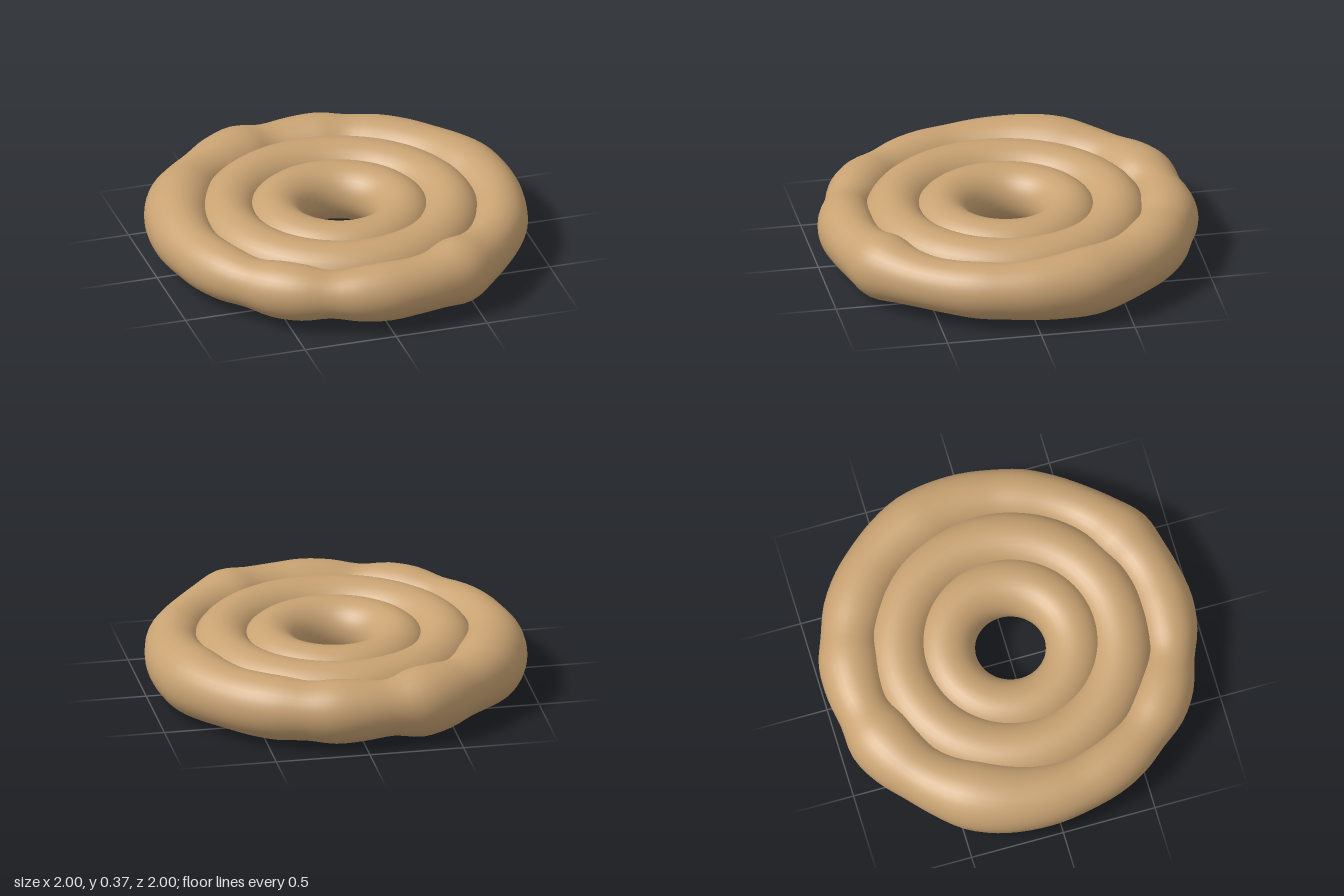
import * as THREE from 'three';
import { mergeVertices } from 'three/addons/utils/BufferGeometryUtils.js';

// Outer edge of the lumpy ring, every 10 degrees from +x towards -z
const RIM = [
  1.0, 1.01, 1.02, 1.012, 1.005, 1.008, 1.008, 0.997, 1.01, 1.0, 0.99, 1.023,
  1.018, 1.0, 1.008, 1.026, 1.024, 1.012, 1.0, 0.988, 0.988, 0.983, 0.972, 0.99,
  0.988, 0.966, 0.985, 0.995, 0.99, 0.995, 1.017, 0.993, 0.98, 0.982, 0.99, 0.99,
];

// Smooth periodic lookup into the rim profile
function rimAt(angle) {
  const n = RIM.length;
  const t = ((angle / (Math.PI * 2)) * n + n) % n;
  const i = Math.floor(t), f = t - i;
  const p = (k) => RIM[(i + k + n) % n];
  const [a, b, c, d] = [p(-1), p(0), p(1), p(2)];
  return b + 0.5 * f * (c - a + f * (2 * a - 5 * b + 4 * c - d + f * (3 * (b - c) + d - a)));
}

// Horizontal ring whose tube thickness follows radiusAt(angle)
function ringGeometry(ringRadius, radiusAt) {
  const geo = new THREE.TorusGeometry(ringRadius, 0.1, 32, 108);
  geo.rotateX(-Math.PI / 2);
  const pos = geo.attributes.position;
  for (let i = 0; i < pos.count; i++) {
    const x = pos.getX(i), y = pos.getY(i), z = pos.getZ(i);
    const angle = Math.atan2(-z, x);
    const k = radiusAt(angle) / 0.1;
    const r = ringRadius + (Math.hypot(x, z) - ringRadius) * k;
    pos.setXYZ(i, Math.cos(angle) * r, y * k, -Math.sin(angle) * r);
  }
  geo.deleteAttribute('uv');
  geo.deleteAttribute('normal');
  const welded = mergeVertices(geo, 1e-4);
  welded.computeVertexNormals();
  return welded;
}

export function createModel() {
  const group = new THREE.Group();
  group.name = 'coiledRings';
  const tan = new THREE.MeshStandardMaterial({ color: 0xc8a272 });
  tan.name = 'tan';

  // Three overlapping coils, the outermost one uneven
  const coils = [
    ['innerCoil', 0.34, () => 0.155],
    ['middleCoil', 0.585, () => 0.165],
    ['outerCoil', 0.84, (a) => rimAt(a) - 0.84],
  ];
  for (const [name, radius, thickness] of coils) {
    const coil = new THREE.Mesh(ringGeometry(radius, thickness), tan);
    coil.name = name;
    coil.position.y = 0.19;
    group.add(coil);
  }
  return group;
}
